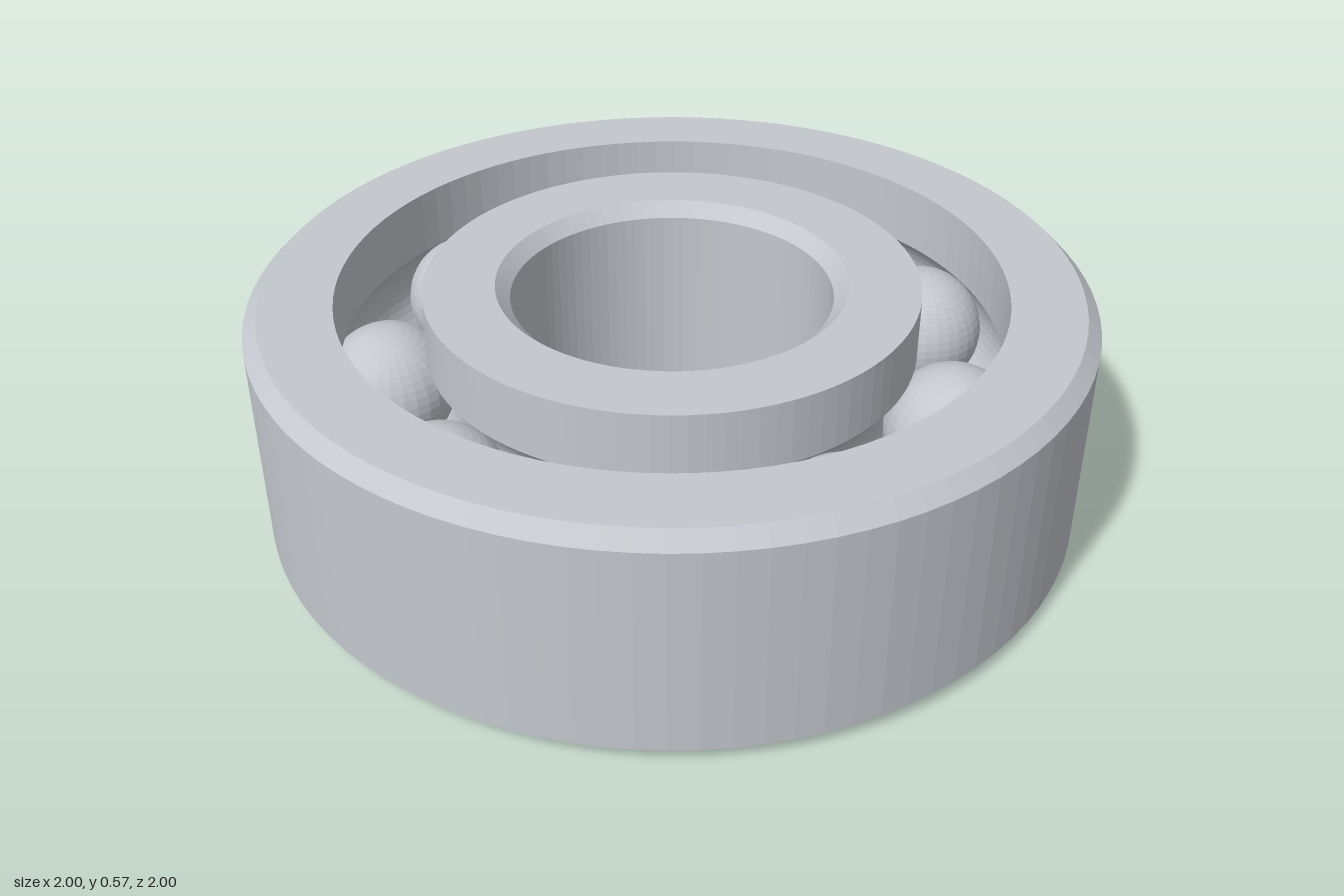
import * as THREE from 'three';

const HEIGHT = 0.575, MID = HEIGHT / 2;
const BORE = 0.385, INNER_WALL = 0.59, OUTER_WALL = 0.793, RIM = 1;
const CHAMFER = 0.034;
const PITCH = (INNER_WALL + OUTER_WALL) / 2; // radius of the circle of balls
const BALL = 0.16, BALLS = 9, GROOVE = 0.162;
const SEGMENTS = 96;

export function createModel() {
  const model = new THREE.Group();
  model.name = 'ballBearing';
  const steel = new THREE.MeshStandardMaterial({ color: 0xc4c8ce, flatShading: true });
  steel.name = 'steel';

  // Rounded ball track cut into a wall, centred on the given direction
  const track = (direction) => {
    const half = Math.acos((OUTER_WALL - PITCH) / GROOVE);
    const steps = 14;
    return Array.from({ length: steps + 1 }, (_, i) => {
      const a = direction + half - (2 * half * i) / steps;
      return [PITCH + GROOVE * Math.cos(a), MID + GROOVE * Math.sin(a)];
    });
  };

  // Closed ring profile turned about the axis
  const addRing = (name, profile) => {
    const points = [...profile, profile[0]].map(([r, y]) => new THREE.Vector2(r, y));
    const ring = new THREE.Mesh(new THREE.LatheGeometry(points, SEGMENTS), steel);
    ring.name = name;
    model.add(ring);
  };

  // Outer ring: chamfered outside, ball track inside
  addRing('outerRing', [
    [OUTER_WALL, 0], [RIM - CHAMFER, 0], [RIM, CHAMFER],
    [RIM, HEIGHT - CHAMFER], [RIM - CHAMFER, HEIGHT], [OUTER_WALL, HEIGHT],
    ...track(0),
  ]);

  // Inner ring: ball track outside, chamfered bore
  addRing('innerRing', [
    [BORE + CHAMFER, 0], [INNER_WALL, 0],
    ...track(Math.PI),
    [INNER_WALL, HEIGHT], [BORE + CHAMFER, HEIGHT],
    [BORE, HEIGHT - CHAMFER], [BORE, CHAMFER],
  ]);

  // Evenly spaced balls
  const ballGeometry = new THREE.SphereGeometry(BALL, 32, 24);
  for (let i = 0; i < BALLS; i++) {
    const a = (i / BALLS) * Math.PI * 2;
    const ball = new THREE.Mesh(ballGeometry, steel);
    ball.name = `ball${i + 1}`;
    ball.position.set(PITCH * Math.cos(a), MID, PITCH * Math.sin(a));
    model.add(ball);
  }
  return model;
}
